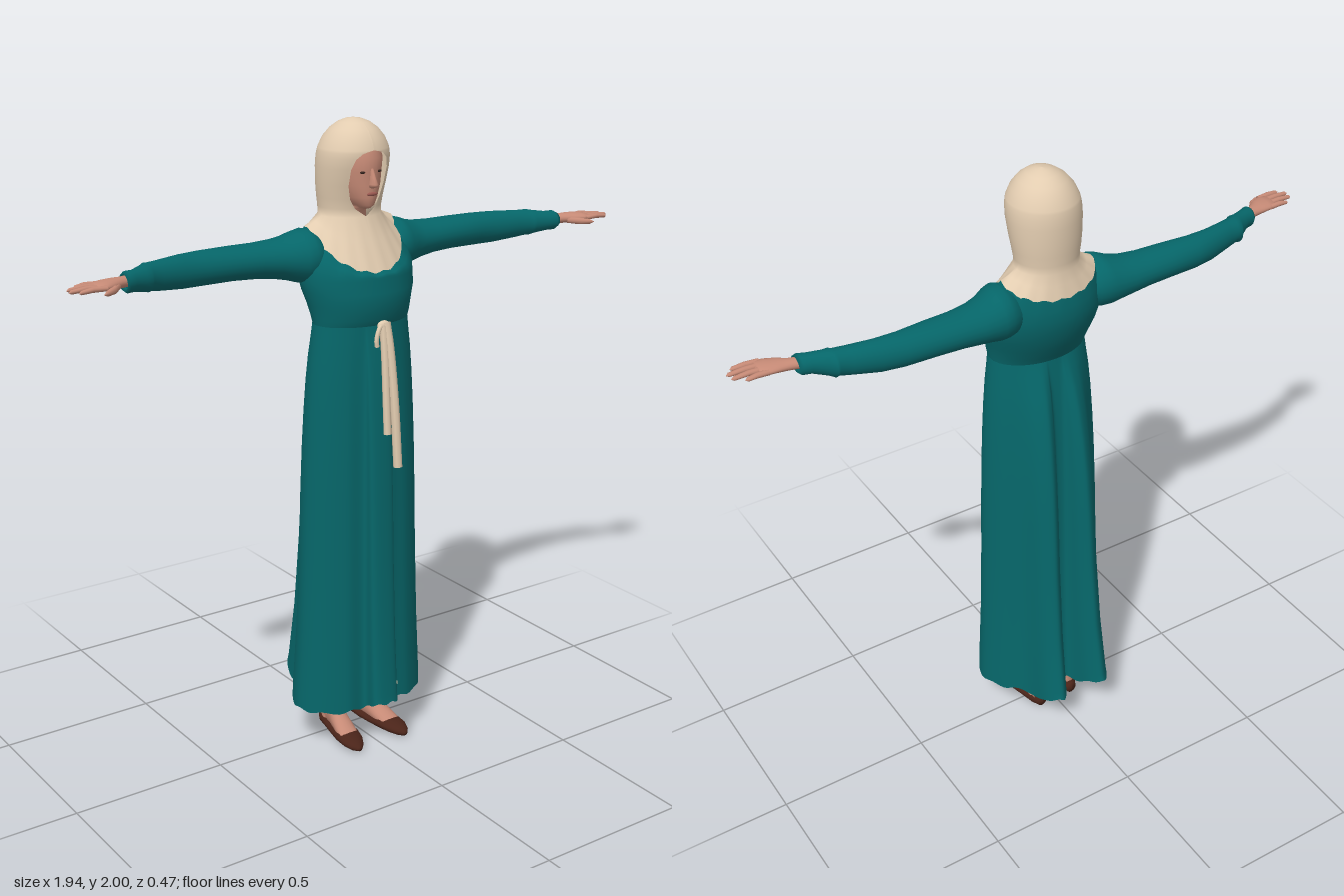
import * as THREE from 'three';

const mat = (name, color) => {
  const m = new THREE.MeshStandardMaterial({ color, side: THREE.DoubleSide });
  m.name = name;
  return m;
};

// Skins a list of rings (arrays of Vector3) into a smooth surface
function loft(name, rings, material, closed = true) {
  const n = rings[0].length, pos = [], idx = [];
  rings.forEach(r => r.forEach(p => pos.push(p.x, p.y, p.z)));
  for (let i = 0; i < rings.length - 1; i++) {
    for (let j = 0; j < (closed ? n : n - 1); j++) {
      const k = (j + 1) % n, a = i * n + j, b = i * n + k;
      idx.push(a, b, a + n, b, b + n, a + n);
    }
  }
  const g = new THREE.BufferGeometry();
  g.setAttribute('position', new THREE.Float32BufferAttribute(pos, 3));
  g.setIndex(idx);
  g.computeVertexNormals();
  const mesh = new THREE.Mesh(g, material);
  mesh.name = name;
  return mesh;
}

const V = (x, y, z) => new THREE.Vector3(x, y, z);
const angles = (n, f) => Array.from({ length: n }, (_, j) => f(j / n * Math.PI * 2));

// Horizontal oval from half width and front/back depth
const oval = (y, rx, zf, zb, n = 32, x = 0) => angles(n, a =>
  V(x + rx * Math.sin(a), y, (zf + zb) / 2 + (zf - zb) / 2 * Math.cos(a)));

// Limb running along x from rows of [x, y, z, ry, rz]
const limbX = (name, rows, m, n = 24) => loft(name, rows.map(([x, y, z, ry, rz]) =>
  angles(n, a => V(x, y + ry * Math.cos(a), z + rz * Math.sin(a)))), m);

// Foot shape running along z from rows of [z, x, halfWidth, top, bottom]
const limbZ = (name, rows, m) => loft(name, rows.map(([z, x, rx, top, bot]) =>
  angles(20, a => V(x + rx * Math.cos(a), (top + bot) / 2 + (top - bot) / 2 * Math.sin(a), z))), m);

// Ragged neckline where the headscarf meets the dress
function neckline(a) {
  const c = Math.cos(a), s = Math.sin(a);
  const y = 1.69 - (c > 0 ? 0.13 * Math.pow(c, 0.9) : 0.05 * -c) + 0.004 * Math.sin(a * 17);
  return V(0.153 * s, y, (c > 0 ? 0.155 : 0.108) * Math.sign(c) * Math.pow(Math.abs(c), 0.9));
}

export function createModel() {
  const model = new THREE.Group();
  model.name = 'womanInGown';
  const teal = mat('tealCloth', 0x066669);
  const cream = mat('creamLinen', 0xe2ccb0);
  const skin = mat('skin', 0xc68a76);
  const leather = mat('brownLeather', 0x4a2419);
  const dark = mat('darkEyes', 0x3a2822);
  const lip = mat('lips', 0x9c5a52);

  // Bodice, from the waist up to the neckline
  const N = 64;
  const chest = [[1.4, 0.16, 0.16, -0.05], [1.42, 0.163, 0.17, -0.06], [1.46, 0.17, 0.179, -0.083],
    [1.5, 0.182, 0.18, -0.1], [1.54, 0.188, 0.17, -0.112]].map(r => oval(...r, N));
  const edge = angles(N, neckline);
  const top = chest[chest.length - 1];
  for (const t of [0.35, 0.7, 1]) {
    const bulge = 1 + 0.24 * t * (1 - t);
    chest.push(edge.map((e, j) => {
      const p = top[j].clone().lerp(e, t);
      p.x *= bulge;
      p.z *= bulge;
      return p;
    }));
  }
  model.add(loft('bodice', chest, teal));

  // Skirt: an oval waist spreading into a folded hem
  const side = [[0.06, 0.167], [0.12, 0.162], [0.2, 0.11], [0.23, 0.04], [0.2, -0.04], [0.145, -0.1],
    [0.117, -0.2], [0.08, -0.235], [0.045, -0.2], [0.012, -0.12]];
  const outline = [[-0.015, 0.238], [0.026, 0.23], [0.034, 0.175], ...side,
    ...side.map(([x, z]) => [-x, z]).reverse(), [-0.058, 0.225]];
  const hem = new THREE.CatmullRomCurve3(outline.map(([x, z]) => V(x, 0, z)), true, 'centripetal')
    .getPoints(160).slice(0, 160);
  const skirt = [[0.14, 1], [0.2, 0.96], [0.4, 0.79], [0.65, 0.65], [0.85, 0.57], [1, 0.49], [1.12, 0.4],
    [1.22, 0.3], [1.3, 0.19], [1.36, 0.07], [1.4, 0]].map(([y, t], row) => hem.map((h, j) => {
    const a = Math.atan2(h.x / 0.23, (h.z - 0.02) / 0.22);
    const p = V(0.16 * Math.sin(a), 0, 0.055 + 0.105 * Math.cos(a)).lerp(h, t);
    const lift = row ? 0 : 0.035 * THREE.MathUtils.smoothstep(Math.abs(h.z), 0.15, 0.23);
    p.y = y + lift + (row ? 0 : 0.004 * Math.sin(j * 0.9));
    return p;
  }));
  model.add(loft('skirt', skirt, teal));

  // Scrap of underskirt in the front pleat
  const scrap = new THREE.Mesh(new THREE.BoxGeometry(0.008, 0.06, 0.05), cream);
  scrap.name = 'underskirt';
  scrap.position.set(0.033, 0.2, 0.188);
  model.add(scrap);

  // Headscarf: bib, neck and hood with an opening for the face
  const hoodRow = ([y, rx, zf, zb, w = 0]) => {
    const open = rx ? Math.asin(w / rx) : 0;
    return Array.from({ length: N + 1 }, (_, j) => {
      const a = open + (Math.PI * 2 - 2 * open) * j / N;
      return V(rx * Math.sin(a), y, (zf + zb) / 2 + (zf - zb) / 2 * Math.cos(a));
    });
  };
  const hood = [[1.715, 0.1, 0.084, -0.09], [1.74, 0.1, 0.084, -0.09, 0.036],
    [1.77, 0.104, 0.09, -0.093, 0.053], [1.81, 0.109, 0.102, -0.095, 0.063],
    [1.86, 0.112, 0.118, -0.096, 0.064], [1.89, 0.111, 0.124, -0.094, 0.054],
    [1.907, 0.108, 0.125, -0.091, 0.034], [1.915, 0.106, 0.124, -0.089], [1.945, 0.092, 0.113, -0.076],
    [1.97, 0.071, 0.094, -0.055], [1.988, 0.046, 0.07, -0.03], [1.997, 0.022, 0.043, -0.005],
    [2, 0, 0.02, 0.02]].map(hoodRow);
  const bibEdge = [...edge, edge[0]];
  const bibMid = bibEdge.map((p, j) => p.clone().lerp(hood[0][j], 0.55));
  model.add(loft('headscarf', [bibEdge, bibMid, ...hood], cream, false));

  // Head and face
  model.add(loft('head', [[1.66, 0.05, 0.05, -0.06], [1.73, 0.045, 0.055, -0.05], [1.742, 0.024, 0.1, -0.045],
    [1.752, 0.036, 0.112, -0.05], [1.775, 0.052, 0.115, -0.055], [1.81, 0.065, 0.117, -0.06],
    [1.85, 0.073, 0.116, -0.065], [1.89, 0.075, 0.12, -0.065], [1.93, 0.066, 0.1, -0.05],
    [1.96, 0.035, 0.07, -0.02]].map(r => oval(...r)), skin));
  model.add(loft('nose', [[1.803, 0.004, 0.12, 0.1], [1.808, 0.013, 0.134, 0.1], [1.816, 0.012, 0.141, 0.1],
    [1.835, 0.008, 0.131, 0.1], [1.862, 0.006, 0.12, 0.1]].map(r => oval(...r, 12)), skin));
  const blob = (name, m, x, y, z, sx, sy, sz) => {
    const b = new THREE.Mesh(new THREE.SphereGeometry(1, 14, 10), m);
    b.name = name;
    b.position.set(x, y, z);
    b.scale.set(sx, sy, sz);
    return b;
  };
  model.add(blob('mouth', lip, 0, 1.786, 0.115, 0.019, 0.006, 0.005));
  for (const s of [-1, 1]) model.add(blob('eye', dark, s * 0.028, 1.851, 0.108, 0.011, 0.004, 0.004));

  // Sash knot, loop and hanging ends
  const ribbon = (name, pts, r) => {
    const curve = new THREE.CatmullRomCurve3(pts.map(p => V(...p)));
    const m = new THREE.Mesh(new THREE.TubeGeometry(curve, 24, r, 8), cream);
    m.name = name;
    model.add(m);
  };
  model.add(blob('sashKnot', cream, 0.003, 1.4, 0.172, 0.022, 0.016, 0.012));
  ribbon('sashLoop', [[0, 1.405, 0.172], [-0.016, 1.395, 0.178], [-0.028, 1.36, 0.18], [-0.026, 1.34, 0.18]], 0.007);
  ribbon('sashEndLong', [[0.01, 1.41, 0.175], [0.014, 1.33, 0.19], [0.018, 1.15, 0.212], [0.021, 0.965, 0.226]], 0.014);
  ribbon('sashEndShort', [[0, 1.4, 0.175], [-0.002, 1.3, 0.188], [-0.005, 1.18, 0.2], [-0.007, 1.07, 0.21]], 0.012);

  // Arms, hands, legs and feet, built on the left and mirrored
  for (const s of [1, -1]) {
    const half = new THREE.Group();
    half.name = s > 0 ? 'leftLimbs' : 'rightLimbs';
    half.scale.x = s;
    model.add(half);

    half.add(limbX('sleeve', [[0.11, 1.595, -0.005, 0.05, 0.06], [0.14, 1.6, -0.005, 0.075, 0.082],
      [0.165, 1.603, -0.008, 0.081, 0.089], [0.19, 1.6, -0.012, 0.077, 0.087],
      [0.22, 1.599, -0.02, 0.067, 0.078], [0.26, 1.599, -0.026, 0.059, 0.071], [0.32, 1.601, -0.03, 0.053, 0.064],
      [0.4, 1.603, -0.032, 0.051, 0.06], [0.5, 1.602, -0.033, 0.051, 0.05], [0.57, 1.602, -0.026, 0.05, 0.042],
      [0.65, 1.605, -0.008, 0.044, 0.037], [0.685, 1.607, 0, 0.041, 0.036], [0.695, 1.607, 0.002, 0.042, 0.045],
      [0.71, 1.608, 0.01, 0.038, 0.035], [0.75, 1.61, 0.03, 0.031, 0.029], [0.775, 1.611, 0.037, 0.031, 0.032],
      [0.785, 1.612, 0.041, 0.024, 0.027], [0.775, 1.612, 0.04, 0.018, 0.02]], teal));

    half.add(limbX('hand', [[0.74, 1.614, 0.03, 0.016, 0.02], [0.8, 1.615, 0.047, 0.016, 0.021],
      [0.83, 1.617, 0.058, 0.016, 0.032], [0.86, 1.618, 0.065, 0.014, 0.038], [0.885, 1.618, 0.069, 0.01, 0.036],
      [0.89, 1.618, 0.07, 0, 0]], skin));
    const fingers = [[0.036, 0.935, 0.036], [0.058, 0.965, 0.06], [0.08, 0.97, 0.084], [0.1, 0.95, 0.106]];
    for (const [z, tip, tz] of fingers) {
      half.add(limbX('finger', [[0.865, 1.618, z, 0.008, 0.01], [(0.865 + tip) / 2, 1.62, (z + tz) / 2, 0.008, 0.009],
        [tip - 0.008, 1.617, tz, 0.006, 0.007], [tip, 1.616, tz, 0, 0]], skin, 10));
    }
    half.add(limbX('thumb', [[0.81, 1.612, 0.066, 0.01, 0.01], [0.84, 1.609, 0.095, 0.011, 0.014],
      [0.87, 1.607, 0.115, 0.008, 0.009], [0.885, 1.606, 0.122, 0, 0]], skin, 10));

    half.add(loft('leg', [[0.02, 0.026, 0.0, -0.06], [0.07, 0.025, 0.012, -0.058], [0.12, 0.024, 0.008, -0.054],
      [0.2, 0.03, 0.01, -0.058], [0.35, 0.045, 0.025, -0.075], [0.5, 0.045, 0.03, -0.06], [0.6, 0.05, 0.035, -0.055]]
      .map(([y, r, f, b]) => oval(y, r, f, b, 20, 0.062)), skin));
    half.add(limbZ('foot', [[-0.055, 0.062, 0.02, 0.06, 0.01], [-0.02, 0.064, 0.025, 0.115, 0.01],
      [0.01, 0.067, 0.027, 0.112, 0.01], [0.04, 0.072, 0.03, 0.088, 0.01], [0.08, 0.078, 0.034, 0.064, 0.01],
      [0.115, 0.083, 0.034, 0.045, 0.01], [0.14, 0.086, 0.02, 0.03, 0.01]], skin));
    half.add(limbZ('shoe', [[-0.074, 0.06, 0, 0.025, 0.015], [-0.07, 0.06, 0.018, 0.042, 0],
      [-0.045, 0.061, 0.031, 0.044, 0], [0, 0.065, 0.034, 0.034, 0], [0.05, 0.073, 0.038, 0.034, 0],
      [0.1, 0.081, 0.043, 0.044, 0], [0.14, 0.086, 0.038, 0.038, 0], [0.17, 0.089, 0.025, 0.029, 0],
      [0.187, 0.09, 0.01, 0.02, 0.004], [0.19, 0.09, 0, 0.012, 0.01]], leather));
  }
  return model;
}
